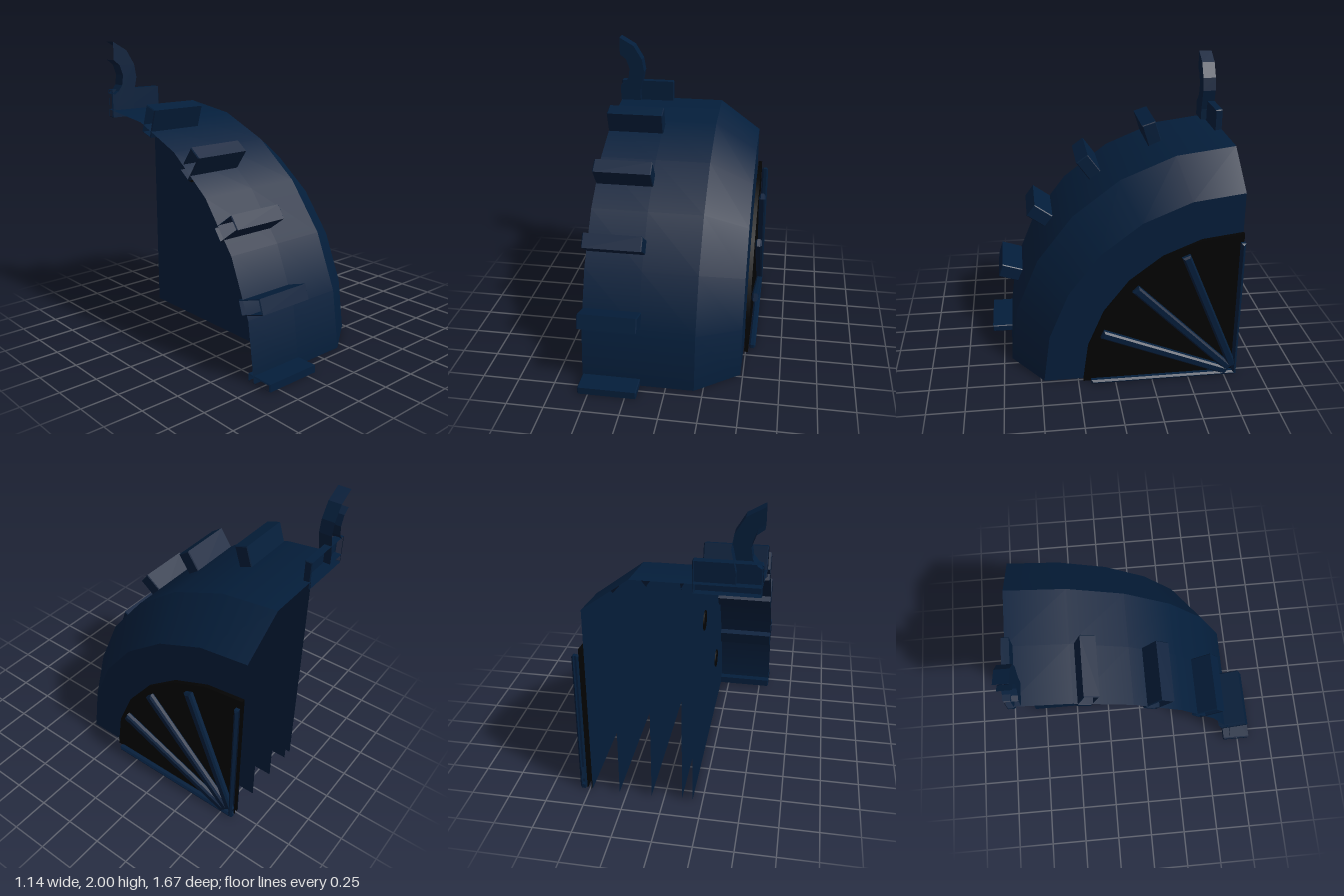
import * as THREE from 'three';

const navy = new THREE.MeshStandardMaterial({ color: 0x041e3b, side: THREE.DoubleSide });
navy.name = 'navy';
const black = new THREE.MeshStandardMaterial({ color: 0x030303, side: THREE.DoubleSide });
black.name = 'black';

const AXIS_Z = -0.835; // the quarter drum turns about the x axis at y = 0
const Q = Math.PI / 2;

// Leave a solid open on the sides that face the given directions
function openSides(geo, directions) {
  const pos = geo.attributes.position;
  const kept = [];
  const tri = new THREE.Triangle();
  const n = new THREE.Vector3();
  for (let i = 0; i < pos.count; i += 3) {
    tri.setFromAttributeAndIndices(pos, i, i + 1, i + 2).getNormal(n);
    if (directions.some((d) => n.dot(d) > 0.99)) continue;
    for (const v of [tri.a, tri.b, tri.c]) kept.push(v.x, v.y, v.z);
  }
  const out = new THREE.BufferGeometry();
  out.setAttribute('position', new THREE.Float32BufferAttribute(kept, 3));
  out.computeVertexNormals();
  return out;
}

const LEFT = new THREE.Vector3(-1, 0, 0);
const BACK = new THREE.Vector3(0, 0, -1);
const UP = new THREE.Vector3(0, 1, 0);
const DOWN = new THREE.Vector3(0, -1, 0);

export function createModel() {
  const model = new THREE.Group();
  const drum = new THREE.Group();
  drum.name = 'quarterDrum';
  drum.position.z = AXIS_Z;
  model.add(drum);

  const add = (name, geo, mat) => {
    const mesh = new THREE.Mesh(geo, mat);
    mesh.name = name;
    drum.add(mesh);
    return mesh;
  };

  // Open quarter band between two x positions
  const band = (name, x0, r0, x1, r1, mat) => {
    const g = new THREE.CylinderGeometry(r1, r0, x1 - x0, 6, 1, true, 3 * Q, Q);
    g.rotateZ(-Q).translate((x0 + x1) / 2, 0, 0);
    add(name, g, mat);
  };

  // Flat quarter plate facing +x
  const plate = (name, x, r, mat) => {
    const g = new THREE.CircleGeometry(r, 6, Q, Q);
    g.rotateY(Q).translate(x, 0, 0);
    add(name, g, mat);
  };

  // Bevelled radial bar, turned by an angle from the z axis towards y;
  // bars lying on the cut planes keep only their inner half and stay open there
  const bar = (name, angle, half, r0, r1, x0, x1, b, open) => {
    const lo = angle === 0 ? 0 : -half;
    const hi = angle === 90 ? 0 : half;
    const s = new THREE.Shape([
      new THREE.Vector2(-r1, lo), new THREE.Vector2(-r0, lo),
      new THREE.Vector2(-r0, hi), new THREE.Vector2(-r1, hi),
    ]);
    const g = new THREE.ExtrudeGeometry(s, {
      depth: x1 - x0 - 2 * b, bevelEnabled: true, bevelThickness: b,
      bevelSize: b, bevelOffset: -b, bevelSegments: 1,
    });
    g.rotateY(Q).translate(x0 + b, 0, 0);
    const sides = [...open];
    if (angle === 0) sides.push(DOWN);
    if (angle === 90) sides.push(UP);
    add(name, openSides(g, sides), navy).rotation.x = -THREE.MathUtils.degToRad(angle);
  };

  // Outer shell: rim, body, chamfer and end face
  band('rimShell', -0.57, 1.53, -0.185, 1.53, navy);
  band('bodyShell', -0.185, 1.53, 0.19, 1.53, navy);
  band('chamferShell', 0.19, 1.53, 0.483, 1.315, navy);
  plate('endFace', 0.483, 1.315, navy);

  // Inner walls
  plate('innerWall', -0.185, 1.53, navy);
  plate('innerPlate', -0.115, 1.5, navy);
  plate('innerPlate', 0.085, 1.5, navy);
  plate('innerPlate', 0.3, 1.42, navy);

  // Dark cover standing off the end face
  band('coverEdge', 0.49, 1.05, 0.517, 1.05, black);
  plate('coverBack', 0.49, 1.05, black);
  plate('coverFront', 0.517, 1.05, black);

  // Spokes on the cover, the slanted ones starting clear of the cut planes
  for (let i = 0; i <= 4; i++) {
    const start = i % 4 === 0 ? 0 : 0.07;
    bar('spoke', i * 22.5, 0.029, start, 1.0, 0.52, 0.567, 0.012, []);
  }

  // Teeth around the rim, open at the cut end
  for (let i = 0; i <= 5; i++) bar('tooth', i * 18, 0.05, 1.473, 1.67, -0.57, -0.174, 0.006, [LEFT]);

  // Bolt heads on the inner wall
  for (const deg of [22.5, 67.5]) {
    const a = THREE.MathUtils.degToRad(deg);
    const g = new THREE.CylinderGeometry(0.065, 0.065, 0.008, 12);
    g.rotateZ(-Q).translate(-0.19, 1.17 * Math.sin(a), 1.17 * Math.cos(a));
    add('bolt', g, black);
  }

  // Half lifting eye on top, open on both cut planes
  const eye = new THREE.Shape([
    [-0.57, 1.53], [-0.42, 1.53], [-0.42, 1.61], [-0.39, 1.75], [-0.405, 1.84], [-0.465, 1.94],
    [-0.57, 2], [-0.57, 1.875], [-0.525, 1.84], [-0.5, 1.77], [-0.51, 1.7], [-0.54, 1.66], [-0.57, 1.64],
  ].map(([x, y]) => new THREE.Vector2(x, y)));
  const eyeGeo = new THREE.ExtrudeGeometry(eye, { depth: 0.09, bevelEnabled: false });
  add('liftingEye', openSides(eyeGeo, [LEFT, BACK]), navy);

  return model;
}
